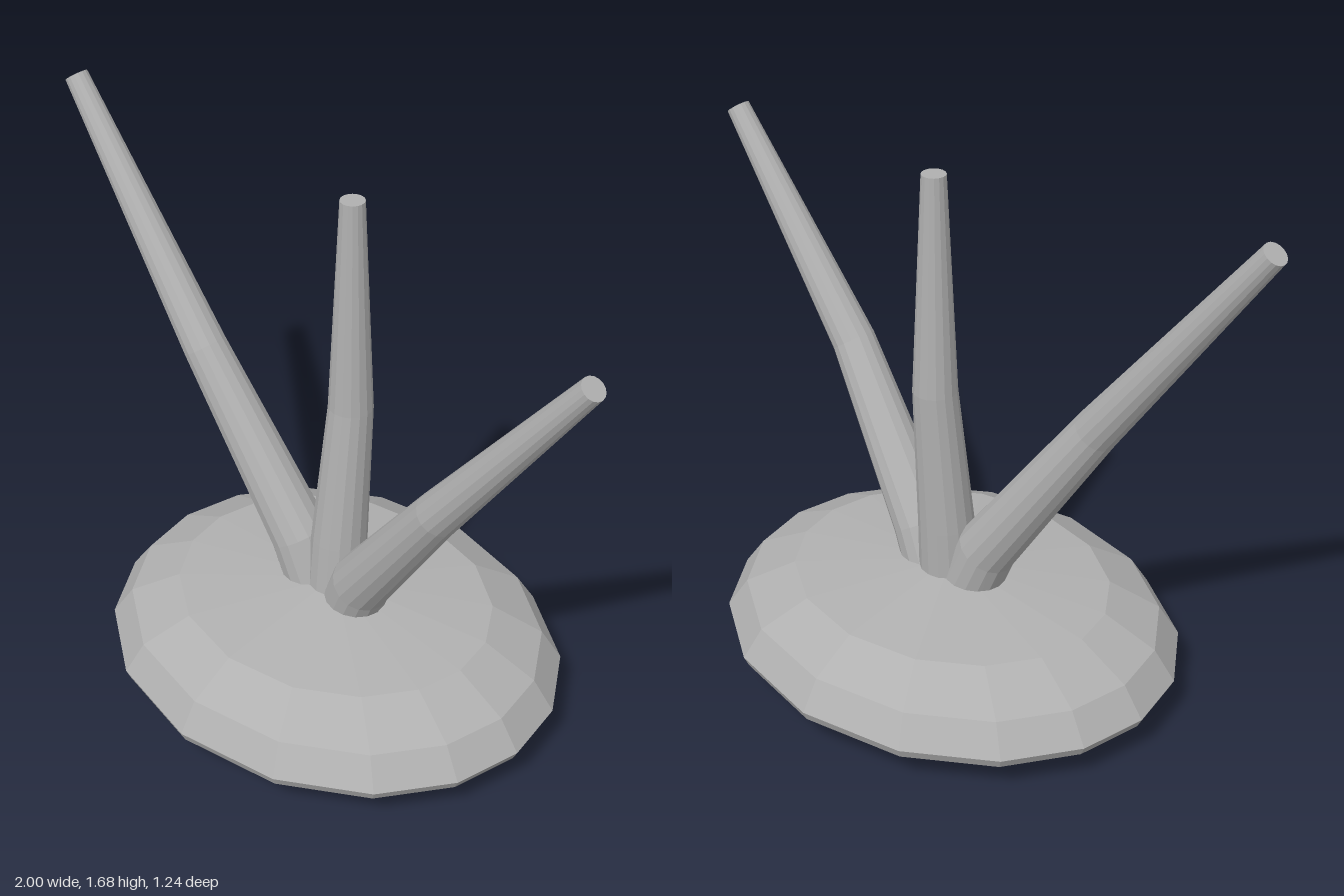
import * as THREE from 'three';

const SIDES = 16;

// Skin a list of 16-point rings, closing both ends with fans to given points.
// Rings run anticlockwise about the direction from start to end.
function loft(rings, startPoint, endPoint) {
  const pos = [], idx = [];
  rings.forEach(r => r.forEach(p => pos.push(p.x, p.y, p.z)));
  for (let i = 0; i < rings.length - 1; i++) {
    for (let j = 0; j < SIDES; j++) {
      const k = (j + 1) % SIDES;
      const a = i * SIDES + j, b = i * SIDES + k, c = a + SIDES, d = b + SIDES;
      idx.push(a, b, c, b, d, c);
    }
  }
  const s = rings.length * SIDES, e = s + 1, last = s - SIDES;
  pos.push(...startPoint.toArray(), ...endPoint.toArray());
  for (let j = 0; j < SIDES; j++) {
    const k = (j + 1) % SIDES;
    idx.push(s, k, j, e, last + j, last + k);
  }
  const geo = new THREE.BufferGeometry();
  geo.setAttribute('position', new THREE.Float32BufferAttribute(pos, 3));
  geo.setIndex(idx);
  geo.computeVertexNormals();
  return geo;
}

// Oval disc from a side profile of [radius, height]
function discGeometry(cx) {
  const profile = [[0.65, 0.07], [0.715, 0.105], [0.73, 0.135], [0.665, 0.225], [0.505, 0.305]];
  const rings = profile.map(([r, y]) => Array.from({ length: SIDES }, (_, j) => {
    const t = j / SIDES * Math.PI * 2;
    const a = t + 0.078 * Math.sin(2 * t);
    return new THREE.Vector3(cx + r * Math.sin(a), y, r * 0.85 * Math.cos(a));
  }));
  return loft(rings, new THREE.Vector3(cx, 0, 0), new THREE.Vector3(cx, 0.355, 0));
}

// Tapered, slightly bent stem from stations of [x, y, z, radius]
function stemGeometry(stations) {
  const pts = stations.map(s => new THREE.Vector3(s[0], s[1], s[2]));
  const rings = pts.map((p, i) => {
    const dir = pts[Math.min(i + 1, pts.length - 1)].clone()
      .sub(pts[Math.max(i - 1, 0)]).normalize();
    const u = new THREE.Vector3().crossVectors(dir, new THREE.Vector3(0, 0, 1)).normalize();
    const v = new THREE.Vector3().crossVectors(dir, u);
    return Array.from({ length: SIDES }, (_, j) => {
      const a = j / SIDES * Math.PI * 2;
      return p.clone()
        .addScaledVector(u, Math.cos(a) * stations[i][3])
        .addScaledVector(v, Math.sin(a) * stations[i][3]);
    });
  });
  return loft(rings, pts[0], pts[pts.length - 1]);
}

export function createModel() {
  const model = new THREE.Group();
  const grey = new THREE.MeshStandardMaterial({ color: 0xb0b0b0, flatShading: true });
  grey.name = 'plain grey';

  const add = (name, geo) => {
    const mesh = new THREE.Mesh(geo, grey);
    mesh.name = name;
    model.add(mesh);
  };

  add('base', discGeometry(0.037));
  add('centreStem', stemGeometry([
    [0.037, 0.25, -0.005, 0.09], [0.037, 0.5, -0.02, 0.083],
    [0.045, 0.95, -0.055, 0.065], [0.045, 1.605, -0.055, 0.035],
  ]));
  add('leftStem', stemGeometry([
    [0.1, 0.28, 0, 0.09], [0.165, 0.42, 0.015, 0.09],
    [0.505, 0.89, 0.08, 0.066], [0.97, 1.513, 0.08, 0.035],
  ]));
  add('rightStem', stemGeometry([
    [-0.03, 0.28, 0, 0.09], [-0.1, 0.45, 0.008, 0.09],
    [-0.455, 0.97, 0.045, 0.066], [-0.97, 1.66, 0.045, 0.035],
  ]));
  return model;
}
